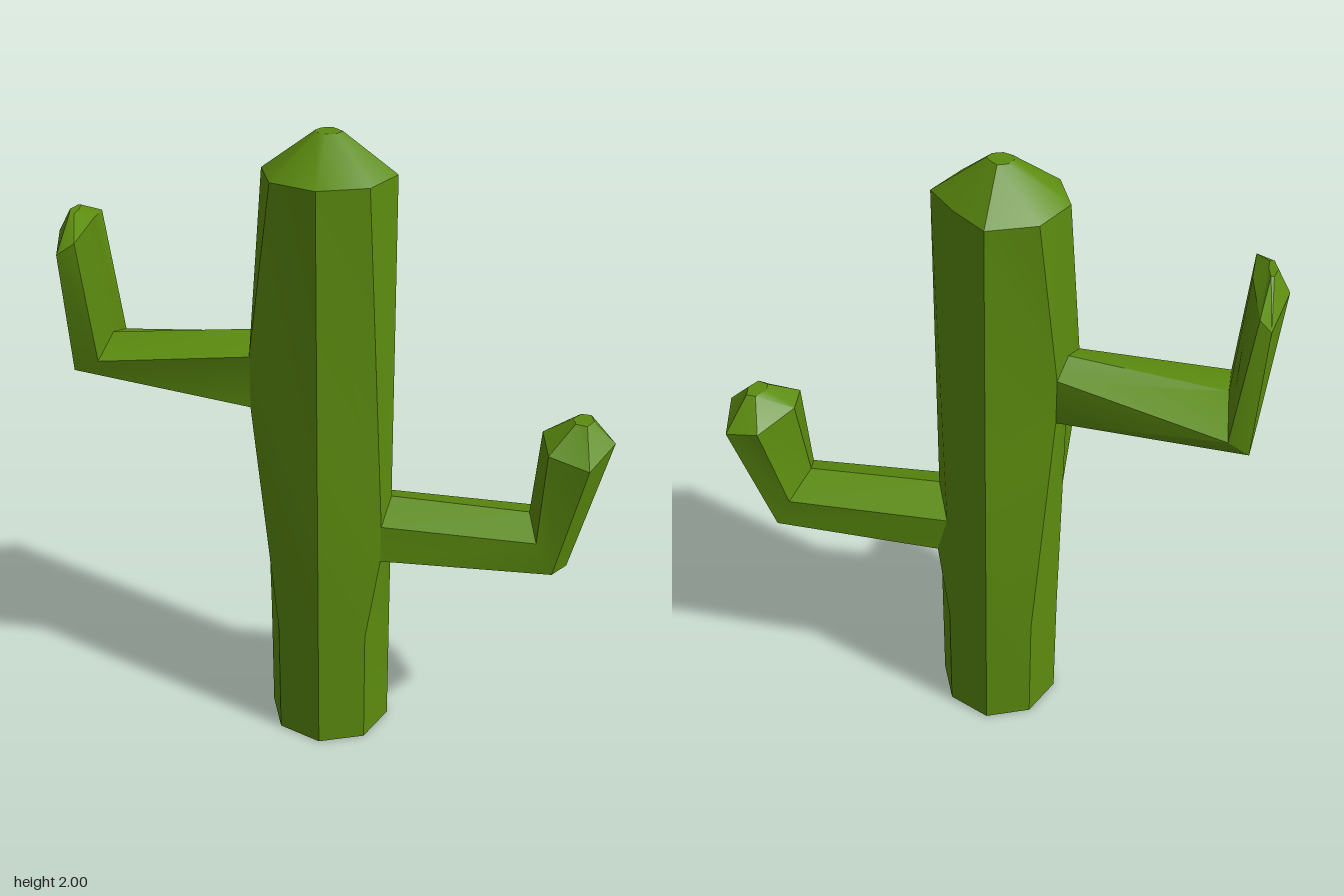
import * as THREE from 'three';
import { toCreasedNormals } from 'three/addons/utils/BufferGeometryUtils.js';

const material = new THREE.MeshStandardMaterial({ color: 0x5c8c0f });

// Skin a stack of rings (each a list of [x, y, z]); optional bottom, closed top.
function loft(name, rings, closeBottom) {
  const out = [];
  const n = rings[0].length;
  const tri = (...pts) => pts.forEach((p) => out.push(...p));
  const middle = (ring) => [0, 1, 2].map((k) => ring.reduce((s, p) => s + p[k], 0) / n);
  const last = rings[rings.length - 1];
  const top = middle(last), bottom = middle(rings[0]);
  for (let j = 0; j < n; j++) {
    const k = (j + 1) % n;
    for (let i = 0; i + 1 < rings.length; i++) {
      const lo = rings[i], hi = rings[i + 1];
      tri(lo[j], hi[j], hi[k]);
      tri(lo[j], hi[k], lo[k]);
    }
    tri(top, last[k], last[j]);
    if (closeBottom) tri(bottom, rings[0][j], rings[0][k]);
  }
  const geometry = new THREE.BufferGeometry();
  geometry.setAttribute('position', new THREE.Float32BufferAttribute(out, 3));
  const mesh = new THREE.Mesh(toCreasedNormals(geometry, 0.55), material);
  mesh.name = name;
  return mesh;
}

// Small blunt tip: the rim shrunk around the tip centre.
const tip = (rim, [cx, cy, cz], s) =>
  rim.map(([x, , z]) => [cx + (x - cx) * s, cy, cz + (z - cz) * s]);

export function createModel() {
  const group = new THREE.Group();
  group.name = 'cactus';

  // Root rings of the arms, shared with the trunk corners they grow from
  const lowRoot = [
    [0.03, 0.8, 0.21], [0.12, 0.85, 0.14], [0.17, 0.8, 0.01],
    [0.195, 0.68, 0.03], [0.12, 0.63, 0.14], [0.025, 0.68, 0.215],
  ];
  const highRoot = [
    [-0.26, 1.345, -0.07], [-0.17, 1.39, -0.14], [-0.1, 1.35, -0.185],
    [-0.1, 1.2, -0.185], [-0.17, 1.16, -0.14], [-0.26, 1.18, -0.07],
  ];

  // Trunk: eight corner columns, from the right side round through the front
  const plain = (x, z) => [[x, 0.75, z], [x, 1.1, z]];
  const columns = [
    [0.175, 0, [lowRoot[3], lowRoot[2]], 0.13],
    [0.12, 0.14, [lowRoot[4], lowRoot[1]]],
    [-0.02, 0.2, [lowRoot[5], lowRoot[0]]],
    [-0.16, 0.14, plain(-0.16, 0.14)],
    [-0.22, 0, [highRoot[5], highRoot[0]]],
    [-0.16, -0.14, [highRoot[4], highRoot[1]]],
    [-0.02, -0.195, [highRoot[3], highRoot[2]]],
    [0.12, -0.14, plain(0.12, -0.14)],
  ];
  const shoulder = columns.map(([x, z, , topX = x]) => [topX, 1.885, z]);
  group.add(loft('trunk', [
    columns.map(([x, z]) => [x, 0, z]),
    columns.map(([x, z]) => [x, 0.4, z]),
    columns.map((c) => c[2][0]),
    columns.map((c) => c[2][1]),
    shoulder,
    tip(shoulder, [-0.02, 2, 0], 0.2),
  ], true));

  // Low arm: root, elbow, rim and tip
  const lowElbow = [
    [0.378, 0.785, 0.535], [0.43, 0.835, 0.44], [0.545, 0.79, 0.375],
    [0.58, 0.69, 0.41], [0.525, 0.65, 0.525], [0.405, 0.69, 0.585],
  ];
  const lowRim = [
    [0.4, 1.08, 0.535], [0.47, 1.1, 0.43], [0.62, 1.08, 0.385],
    [0.69, 1.06, 0.47], [0.61, 1.09, 0.6], [0.46, 1.06, 0.65],
  ];
  group.add(loft('lowArm', [lowRoot, lowElbow, lowRim, tip(lowRim, [0.555, 1.152, 0.52], 0.28)]));

  // High arm: wide and flat, turning up into a slab
  const highElbow = [
    [-0.61, 1.31, -0.365], [-0.5, 1.34, -0.48], [-0.395, 1.28, -0.61],
    [-0.45, 1.235, -0.645], [-0.57, 1.22, -0.54], [-0.66, 1.27, -0.43],
  ];
  const highRim = [
    [-0.655, 1.69, -0.36], [-0.535, 1.71, -0.48], [-0.44, 1.68, -0.625],
    [-0.47, 1.64, -0.645], [-0.615, 1.67, -0.55], [-0.7, 1.655, -0.39],
  ];
  const highRings = [highRoot, highElbow, highRim, tip(highRim, [-0.58, 1.738, -0.51], 0.25)];
  group.add(loft('highArm', highRings.map((ring) => [...ring].reverse())));

  return group;
}
